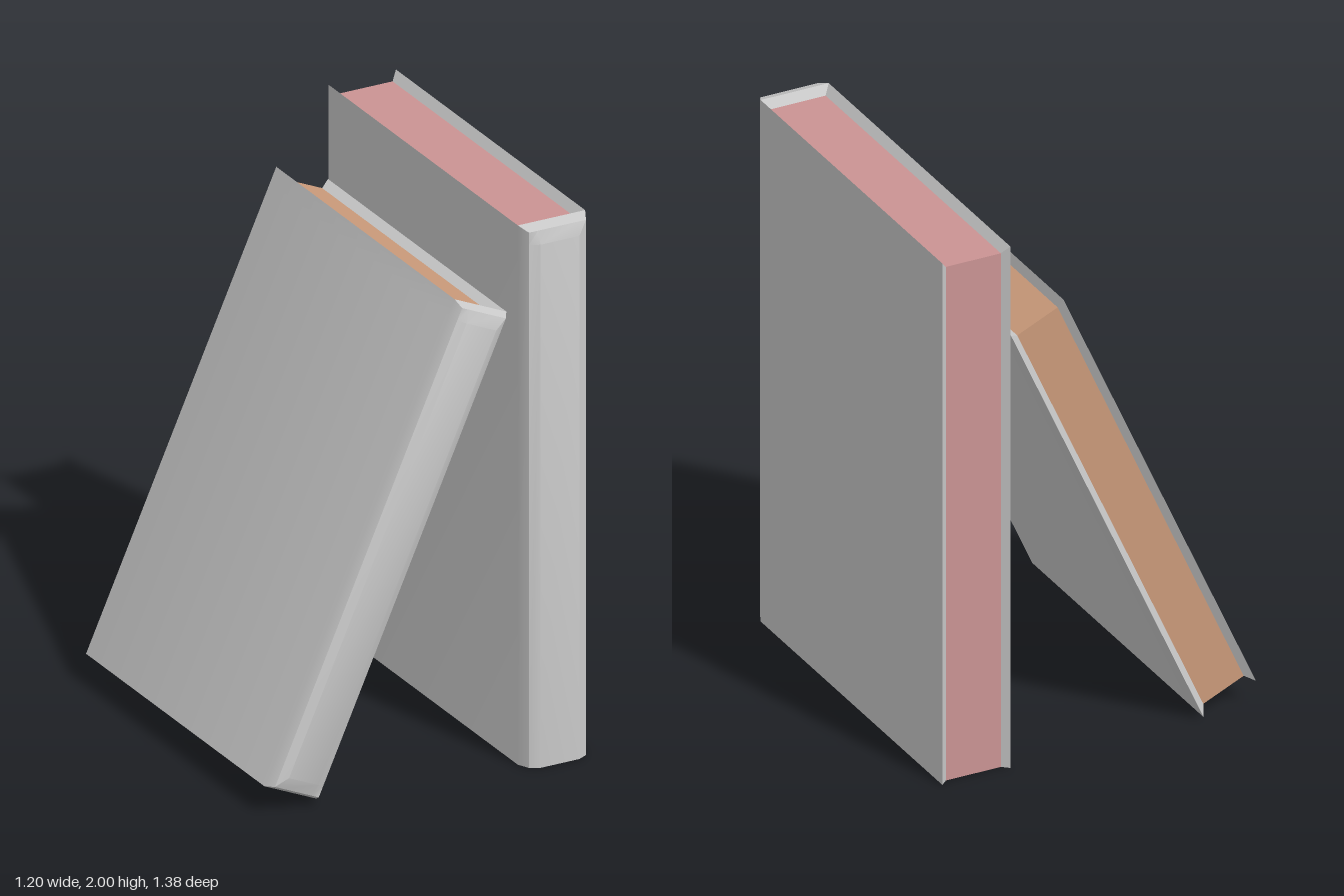
import * as THREE from 'three';
import { toCreasedNormals } from 'three/addons/utils/BufferGeometryUtils.js';

const mat = (name, color) =>
  new THREE.MeshStandardMaterial({ name, color, side: THREE.DoubleSide });

// Skin over rows of [x, y, z] points
function skin(rows) {
  const p = [];
  for (let j = 0; j < rows.length - 1; j++) {
    for (let i = 0; i < rows[j].length - 1; i++) {
      const a = rows[j][i], b = rows[j][i + 1], c = rows[j + 1][i], d = rows[j + 1][i + 1];
      p.push(...a, ...c, ...b, ...b, ...c, ...d);
    }
  }
  const g = new THREE.BufferGeometry();
  g.setAttribute('position', new THREE.Float32BufferAttribute(p, 3));
  return toCreasedNormals(g, THREE.MathUtils.degToRad(32));
}

const mirror = half => [...half, ...half.slice().reverse().map(([x, ...r]) => [-x, ...r])];

function createBook(name, { w, h, zb, zf, k, openBase }, coverMat, pageMat) {
  const book = new THREE.Group();
  book.name = name;
  const add = (part, geometry, material) => {
    const m = new THREE.Mesh(geometry, material);
    m.name = part;
    book.add(m);
    return m;
  };
  const bev = 0.06 * k, mid = 0.018 * k, sink = 0.03;
  const ix = w - 0.025, iz0 = zb + 0.022, iz1 = zf - 0.085 * k;
  const baseSink = openBase ? 0 : sink;

  // Horizontal section: back lip, cover board, rounded spine; zMax trims the spine ends
  const section = (y, zMax) => mirror([
    [ix, Math.min(Math.max(y, baseSink), h - sink), iz0],
    [w, y, zb],
    [w, y, zf - bev],
    [zMax < zf - mid ? w : w - 0.02 * k, y, Math.min(zf - mid, zMax)],
    [w - 0.055 * k, y, Math.min(zf, zMax)],
  ]);
  const ends = [[0, zf - bev], [0.015, zf - mid], [0.06, zf]];
  const top = ends.slice().reverse().map(([d, z]) => section(h - d, z));
  const base = openBase ? [section(0, zf)] : ends.map(([d, z]) => section(d, z));
  add('cover', skin([...base, ...top]), coverMat);

  // Sloping lips between cover edge and page block
  const outer = y => mirror([[w, y, zb], [w, y, zf - bev]]);
  const inner = y => mirror([[ix, y, iz0], [ix, y, iz1]]);
  add('topLip', skin([outer(h), inner(h - sink)]), coverMat);
  if (!openBase) add('bottomLip', skin([inner(sink), outer(0)]), coverMat);

  // Visible page edges
  const depth = iz1 - iz0, tall = h - sink - baseSink;
  const pageTop = add('pageTop', new THREE.PlaneGeometry(2 * ix, depth), pageMat);
  pageTop.rotation.x = -Math.PI / 2;
  pageTop.position.set(0, h - sink, (iz0 + iz1) / 2);
  const pageBack = add('pageBack', new THREE.PlaneGeometry(2 * ix, tall), pageMat);
  pageBack.rotation.y = Math.PI;
  pageBack.position.set(0, baseSink + tall / 2, iz0);
  if (!openBase) {
    const pageBottom = add('pageBottom', new THREE.PlaneGeometry(2 * ix, depth), pageMat);
    pageBottom.rotation.x = Math.PI / 2;
    pageBottom.position.set(0, sink, (iz0 + iz1) / 2);
  }
  return book;
}

export function createModel() {
  const model = new THREE.Group();
  model.name = 'books';
  const cover = mat('coverGrey', 0xc8c8c8);

  const upright = createBook('uprightBook',
    { w: 0.13, h: 2, zb: -0.69, zf: 0.69, k: 1, openBase: true }, cover, mat('pagePink', 0xca9393));
  upright.position.x = 0.47;

  const leaning = createBook('leaningBook',
    { w: 0.1095, h: 1.802, zb: -0.685, zf: 0.61, k: 0.85, openBase: false }, cover, mat('pageBrown', 0xca9a7a));
  leaning.position.set(-0.5, 0.053, 0);
  leaning.rotation.z = -THREE.MathUtils.degToRad(24.07);

  model.add(upright, leaning);
  return model;
}
